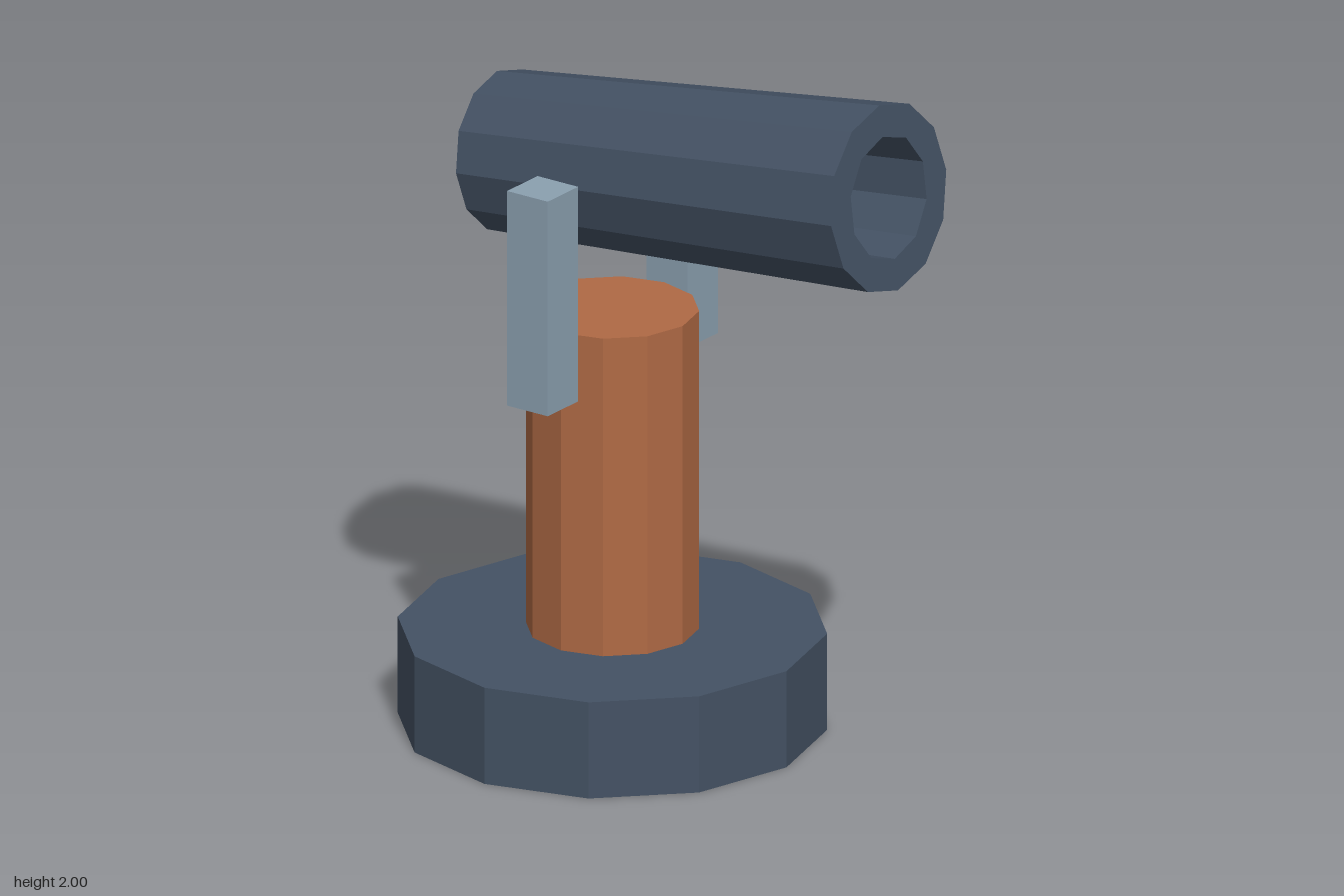
import * as THREE from 'three';

const paint = (color) => new THREE.MeshStandardMaterial({ color, flatShading: true, side: THREE.DoubleSide });

function addMesh(parent, name, geometry, material, x = 0, y = 0, z = 0) {
  const mesh = new THREE.Mesh(geometry, material);
  mesh.name = name;
  mesh.position.set(x, y, z);
  parent.add(mesh);
  return mesh;
}

// Regular polygon with its first corner on the +y axis
function ring(radius, sides) {
  return Array.from({ length: sides }, (_, i) => {
    const a = (i / sides) * Math.PI * 2;
    return new THREE.Vector2(Math.sin(a) * radius, Math.cos(a) * radius);
  });
}

const lathe = (points, sides) =>
  new THREE.LatheGeometry(points.map(([r, y]) => new THREE.Vector2(r, y)), sides);

export function createModel() {
  const model = new THREE.Group();
  model.name = 'swivelCannon';
  const iron = paint(0x445264);
  const wood = paint(0xb06a45);
  const steel = paint(0x8ba0b0);
  const axisZ = -0.187;

  // Round foot and pillar
  addMesh(model, 'base', new THREE.CylinderGeometry(0.587, 0.587, 0.28, 12), iron, 0, 0.14, axisZ);
  addMesh(model, 'pillar', new THREE.CylinderGeometry(0.237, 0.237, 1.195, 12), wood, 0, 0.6075, axisZ);

  // Side brackets
  for (const [side, name] of [[1, 'leftBracket'], [-1, 'rightBracket']]) {
    addMesh(model, name, new THREE.BoxGeometry(0.14, 0.625, 0.137), steel, side * 0.32, 1.3375, axisZ);
  }

  // Barrel, built along local +y from breech to muzzle, then tilted upward
  const barrel = new THREE.Group();
  barrel.name = 'barrel';
  const length = 1.304, floor = 0.2;
  const breechR = 0.224, muzzleR = 0.264, boreR = 0.174;
  const floorR = breechR + (muzzleR - breechR) * (floor / length);

  // Outer wall with a recessed breech plate
  addMesh(barrel, 'barrelWall', lathe([[breechR, 0], [muzzleR, length]], 12), iron);
  addMesh(barrel, 'breechPlate', lathe([[0, floor], [floorR, floor]], 12), iron);

  // Tapered bore with a closed end
  addMesh(barrel, 'bore', lathe([[0, floor + 0.005], [0.152, floor + 0.005], [boreR, length]], 10), iron);

  // Flat muzzle ring
  const muzzle = new THREE.Shape(ring(muzzleR, 12));
  muzzle.holes.push(new THREE.Path(ring(boreR, 10)));
  const muzzleGeometry = new THREE.ShapeGeometry(muzzle).rotateX(-Math.PI / 2);
  addMesh(barrel, 'muzzleRing', muzzleGeometry, iron, 0, length, 0);

  barrel.position.set(0, 1.5825, -0.55);
  barrel.rotation.x = Math.PI / 2 - Math.atan2(0.155, 1.295);
  model.add(barrel);

  return model;
}
